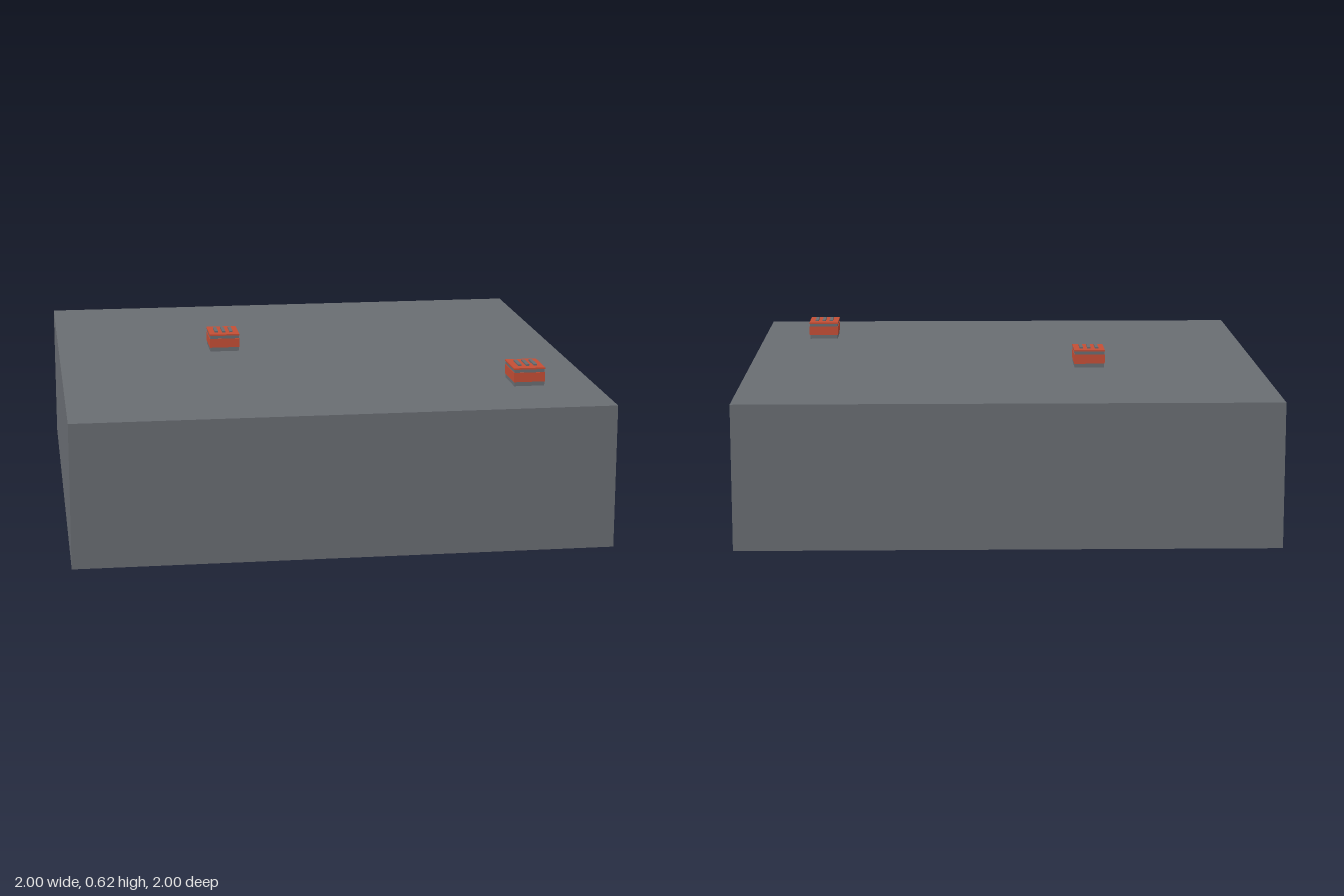
import * as THREE from 'three';

const grey = new THREE.MeshStandardMaterial({ color: 0x696d72, side: THREE.DoubleSide });
grey.name = 'slate grey';
const red = new THREE.MeshStandardMaterial({ color: 0xc44e35 });
red.name = 'brick red';

const ROOF = 0.54;

function addBox(parent, name, material, size, position) {
  const mesh = new THREE.Mesh(new THREE.BoxGeometry(...size), material);
  mesh.name = name;
  mesh.position.set(...position);
  parent.add(mesh);
  return mesh;
}

// Small rooftop unit: grey housing, red band, red lid and three raised slats
function rooftopUnit(x, z) {
  const unit = new THREE.Group();
  unit.name = 'rooftopUnit';
  unit.position.set(x, ROOF, z);
  addBox(unit, 'housing', grey, [0.116, 0.064, 0.152], [0, 0.032, 0]);
  addBox(unit, 'band', red, [0.12, 0.036, 0.156], [0, 0.034, 0]);
  addBox(unit, 'lid', red, [0.12, 0.006, 0.156], [0, 0.067, 0]);
  for (const i of [-1, 0, 1]) {
    addBox(unit, 'slat', grey, [0.013, 0.006, 0.084], [i * 0.03, 0.073, 0]);
  }
  return unit;
}

export function createModel() {
  const model = new THREE.Group();
  model.name = 'flatRoofBlock';

  // Thin shell with walls and roof, open underneath
  const shell = addBox(model, 'shell', grey, [2, ROOF, 2], [0, ROOF / 2, 0]);
  const index = Array.from(shell.geometry.index.array);
  index.splice(18, 6); // drop the bottom face
  shell.geometry.setIndex(index);
  shell.geometry.clearGroups();

  model.add(rooftopUnit(-0.335, -0.168), rooftopUnit(0.748, 0.582));
  return model;
}
